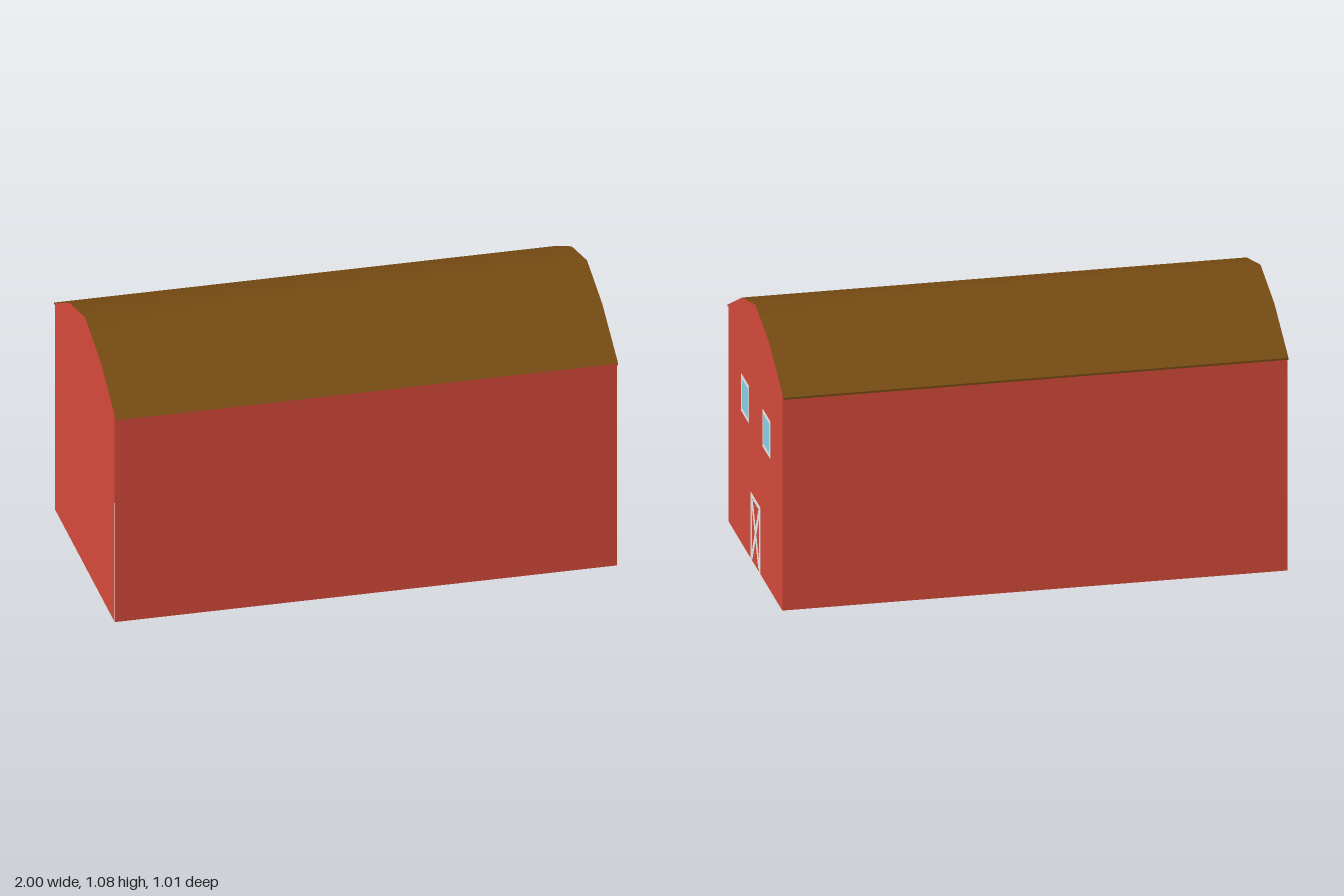
import * as THREE from 'three';

const mat = (name, color, side = THREE.FrontSide) => {
  const m = new THREE.MeshStandardMaterial({ color, side });
  m.name = name;
  return m;
};

export function createModel() {
  const red = mat('barn red', 0xd44a3a, THREE.DoubleSide);
  const brown = mat('roof brown', 0x754a12, THREE.DoubleSide);
  const white = mat('trim white', 0xffffff);
  const blue = mat('glass blue', 0x88d4ea);

  const barn = new THREE.Group();
  barn.name = 'barn';
  const add = (name, geometry, material, parent = barn) => {
    const mesh = new THREE.Mesh(geometry, material);
    mesh.name = name;
    parent.add(mesh);
    return mesh;
  };

  const END = 0.998, WALL = 0.484, EAVE = 0.893;
  // Roof section as [z, y], from front eave to back eave
  const roofLine = [[0.507, 0.89], [0.25, 1.018], [0, 1.083], [-0.25, 1.018], [-0.507, 0.89]];

  // Sheet swept along x from a section, with smooth shared normals
  const sweep = (line, half) => {
    const pos = [], idx = [];
    line.forEach(([z, y], i) => {
      pos.push(-half, y, z, half, y, z);
      const a = i * 2;
      if (i < line.length - 1) idx.push(a, a + 1, a + 3, a, a + 3, a + 2);
    });
    const g = new THREE.BufferGeometry();
    g.setAttribute('position', new THREE.Float32BufferAttribute(pos, 3));
    g.setIndex(idx);
    g.computeVertexNormals();
    return g;
  };

  // Roof: top sheet, underside and eave edges
  const under = roofLine.map(([z, y]) => [z, y - 0.008]);
  add('roof', sweep(roofLine, END), brown);
  add('roofUnderside', sweep([...under].reverse(), END), brown);
  for (const i of [0, 4]) {
    const edge = [under[i], roofLine[i]];
    add('eaveEdge', sweep(i ? edge.reverse() : edge, END), i ? brown : red);
  }

  // Long side walls; the barn has no floor
  add('frontWall', sweep([[WALL, 0], [WALL, EAVE]], END), red);
  add('backWall', sweep([[-WALL, EAVE], [-WALL, 0]], END), red);

  // Gable ends, drawn with shape x = -z
  const gable = new THREE.Shape([
    [-WALL, 0], [WALL, 0], [WALL, 0.9], [0.25, 1.018], [0, 1.083], [-0.25, 1.018], [-WALL, 0.9],
  ].map(([x, y]) => new THREE.Vector2(x, y)));
  for (const s of [1, -1]) {
    const end = add(s > 0 ? 'leftGable' : 'rightGable', new THREE.ShapeGeometry(gable), red);
    end.rotation.y = s * Math.PI / 2;
    end.position.x = s * (END + 0.0002);
  }

  // Painted plates on the left gable, laid out in its own plane
  const panel = new THREE.Group();
  panel.name = 'gableDetails';
  panel.rotation.y = Math.PI / 2;
  panel.position.x = END;
  barn.add(panel);
  const plate = (name, x, y, w, h, material, angle = 0, d = 0.002) => {
    const m = add(name, new THREE.BoxGeometry(w, h, d), material, panel);
    m.position.set(x, y, d / 2);
    m.rotation.z = angle;
  };
  const frame = (name, x, y, w, h, t, bottom) => {
    for (const s of [-1, 1]) plate(name + 'Side', x + s * (w - t) / 2, y, t, h, white);
    plate(name + 'Top', x, y + (h - t) / 2, w - 2 * t, t, white);
    if (bottom) plate(name + 'Bottom', x, y - (h - t) / 2, w - 2 * t, t, white);
  };

  // Windows
  for (const x of [-0.185, 0.2]) {
    frame('windowFrame', x, 0.625, 0.138, 0.154, 0.015, true);
    plate('windowGlass', x, 0.625, 0.112, 0.128, blue, 0, 0.0014);
  }

  // Door with crossed braces
  frame('doorFrame', 0.004, 0.138, 0.168, 0.276, 0.016, false);
  for (const s of [-1, 1]) {
    plate('doorBrace', 0.004, 0.132, 0.024, 0.268, white, s * 0.5, 0.0016);
  }
  return barn;
}
